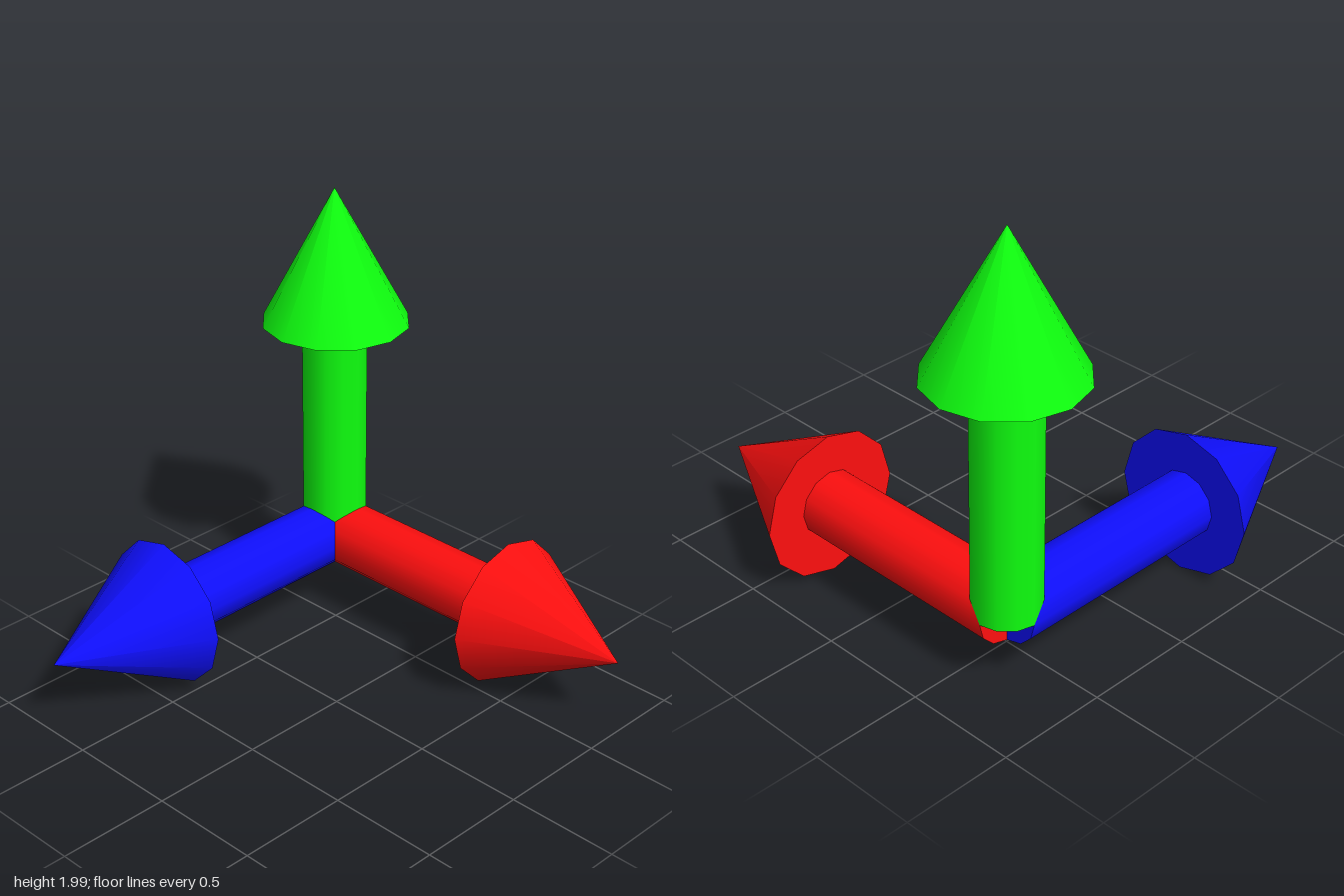
import * as THREE from 'three';

const SIDES = 12;
const SHAFT_RADIUS = 0.148, SHAFT_LENGTH = 1.04;
const HEAD_RADIUS = 0.33, HEAD_LENGTH = 0.615;

// One arrow pointing along +y, starting at the origin
function makeArrow(name, color) {
  const material = new THREE.MeshStandardMaterial({ color });
  const arrow = new THREE.Group();
  arrow.name = name;

  const shaftGeometry = new THREE.CylinderGeometry(SHAFT_RADIUS, SHAFT_RADIUS, SHAFT_LENGTH, SIDES);
  shaftGeometry.translate(0, SHAFT_LENGTH / 2, 0);
  const shaft = new THREE.Mesh(shaftGeometry, material);
  shaft.name = name + 'Shaft';

  // Head: a cone whose base sits slightly off the shaft axis
  const headGeometry = new THREE.ConeGeometry(HEAD_RADIUS, HEAD_LENGTH, SIDES);
  headGeometry.translate(0, HEAD_LENGTH / 2, 0);
  const p = headGeometry.attributes.position;
  for (let i = 0; i < p.count; i++) {
    p.setX(i, p.getX(i) + 0.008 * (1 - p.getY(i) / HEAD_LENGTH));
  }
  const head = new THREE.Mesh(headGeometry, material);
  head.name = name + 'Head';
  head.position.y = SHAFT_LENGTH;

  arrow.add(shaft, head);
  return arrow;
}

export function createModel() {
  const model = new THREE.Group();
  model.name = 'axisArrows';

  const up = makeArrow('upArrow', 0x0fff0f);
  const side = makeArrow('sideArrow', 0xff0f0f);
  side.rotation.z = -Math.PI / 2;
  const forward = makeArrow('forwardArrow', 0x0f0fff);
  forward.rotation.x = Math.PI / 2;

  // All three arrows share one corner
  for (const arrow of [up, side, forward]) {
    arrow.position.set(-0.67, 0.343, -0.665);
    model.add(arrow);
  }
  return model;
}
